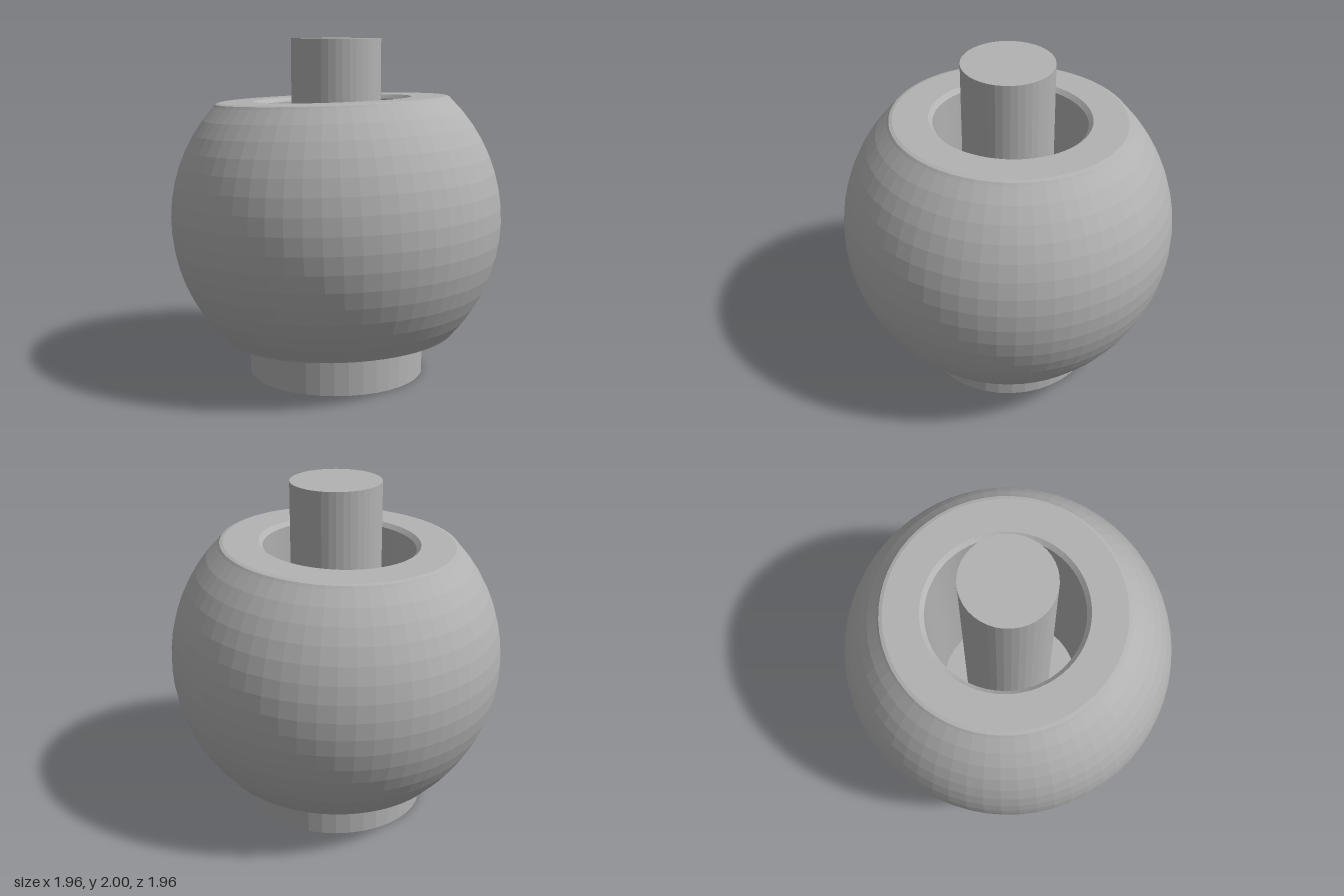
import * as THREE from 'three';

export function createModel() {
  const model = new THREE.Group();
  const grey = new THREE.MeshStandardMaterial({ color: 0xb2b2b2, flatShading: true });
  grey.name = 'plain grey';

  function add(name, geometry, y) {
    const mesh = new THREE.Mesh(geometry, grey);
    mesh.name = name;
    mesh.position.y = y;
    model.add(mesh);
    return mesh;
  }

  // Base flange and the post rising through the ball
  const flangeTop = 0.235;
  add('baseFlange', new THREE.CylinderGeometry(0.525, 0.525, flangeTop, 40), flangeTop / 2);
  add('post', new THREE.CylinderGeometry(0.264, 0.264, 2 - flangeTop, 40), (2 + flangeTop) / 2);

  // Truncated ball with a chamfered through bore
  const radius = 0.98, half = 0.705, bore = 0.443, chamfer = 0.025;
  const edge = Math.asin((half - 0.02) / radius);
  const profile = [
    new THREE.Vector2(bore, half - chamfer),
    new THREE.Vector2(bore, -half + chamfer),
    new THREE.Vector2(bore + chamfer, -half),
    new THREE.Vector2(0.67, -half),
    new THREE.Vector2(0.69, -half + 0.006),
  ];
  const rows = 15;
  for (let i = 0; i <= rows; i++) {
    const a = -edge + (2 * edge * i) / rows;
    profile.push(new THREE.Vector2(radius * Math.cos(a), radius * Math.sin(a)));
  }
  profile.push(
    new THREE.Vector2(0.69, half - 0.006),
    new THREE.Vector2(0.67, half),
    new THREE.Vector2(bore + chamfer, half),
    new THREE.Vector2(bore, half - chamfer),
  );
  const ball = add('boredBall', new THREE.LatheGeometry(profile, 60), 0.942);
  // The ball leans slightly on the post
  ball.rotation.z = THREE.MathUtils.degToRad(2.2);

  return model;
}
